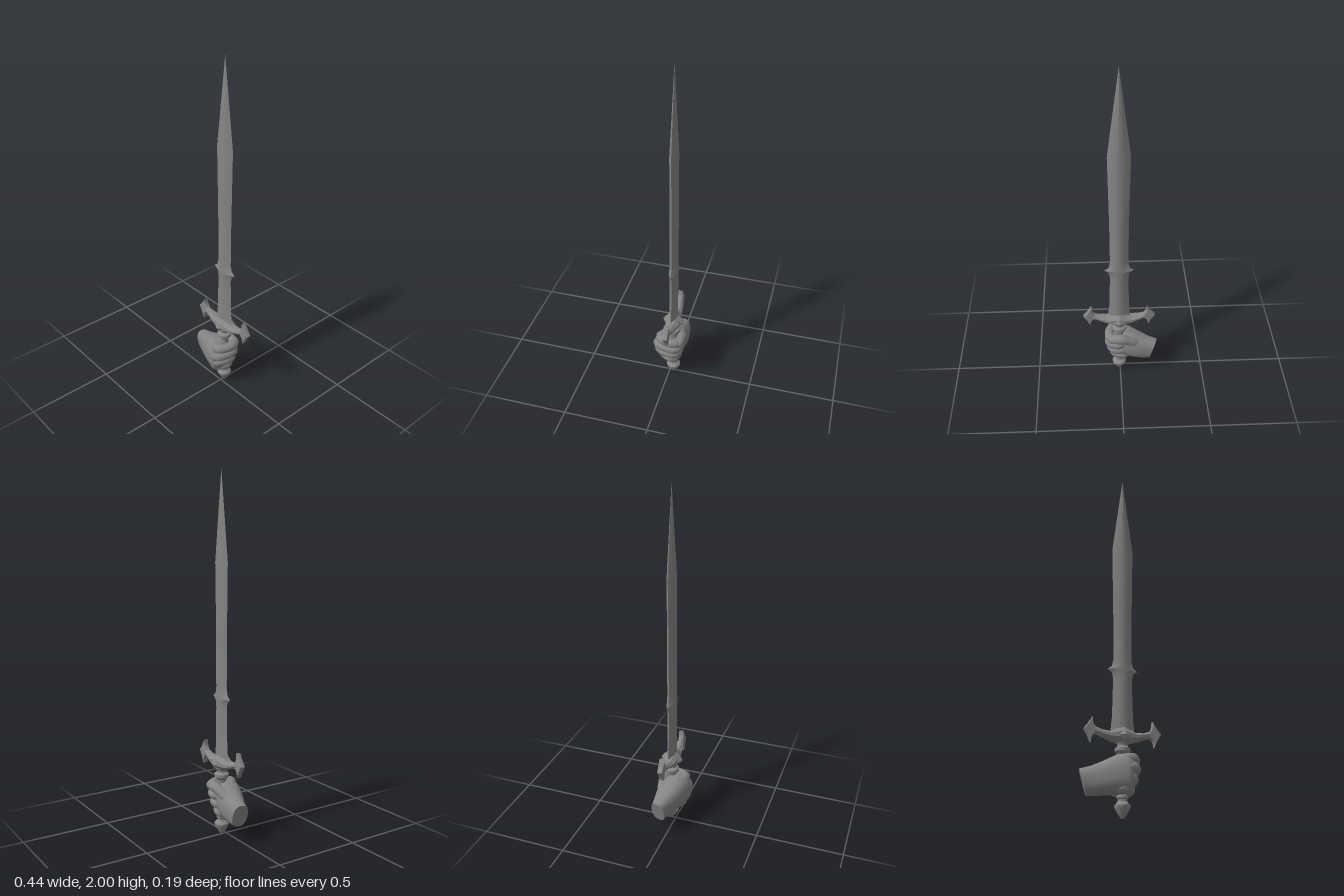
import * as THREE from 'three';
import { mergeVertices, toCreasedNormals } from 'three/addons/utils/BufferGeometryUtils.js';

const mat = new THREE.MeshStandardMaterial({ color: 0x858585 });
const flat = new THREE.MeshStandardMaterial({ color: 0x858585, flatShading: true });

function add(parent, name, geometry, material = mat) {
  const mesh = new THREE.Mesh(geometry, material);
  mesh.name = name;
  parent.add(mesh);
  return mesh;
}

// Skin a list of rings (counter-clockwise about the direction of travel) and cap both ends.
function loft(rings) {
  const n = rings[0].length, pos = rings.flat(2), idx = [];
  for (let i = 0; i < rings.length - 1; i++) {
    for (let j = 0; j < n; j++) {
      const a = i * n + j, b = i * n + (j + 1) % n;
      idx.push(a, b, b + n, a, b + n, a + n);
    }
  }
  [rings[0], rings[rings.length - 1]].forEach((ring, end) => {
    const base = pos.length / 3;
    const c = [0, 1, 2].map(k => ring.reduce((s, p) => s + p[k], 0) / n);
    pos.push(...ring.flat(), ...c);
    for (let j = 0; j < n; j++) {
      const a = base + j, b = base + (j + 1) % n;
      idx.push(base + n, end ? a : b, end ? b : a);
    }
  });
  const g = new THREE.BufferGeometry();
  g.setAttribute('position', new THREE.Float32BufferAttribute(pos, 3));
  g.setIndex(idx);
  g.computeVertexNormals();
  return g;
}

// Round-ended tube whose radius bulges slightly along its length.
function finger(points, radius) {
  const curve = new THREE.CatmullRomCurve3(points.map(p => new THREE.Vector3(...p)));
  const S = 28, R = 14;
  const g = new THREE.TubeGeometry(curve, S, 1, R, false);
  const p = g.attributes.position, v = new THREE.Vector3();
  for (let i = 0; i <= S; i++) {
    const t = i / S, c = curve.getPointAt(t);
    const e = Math.min(1, Math.min(t, 1 - t) / 0.14);
    const r = radius * Math.sqrt(Math.max(0.0004, 1 - (1 - e) ** 2)) * (1 + 0.04 * Math.cos(t * Math.PI * 6));
    for (let j = 0; j <= R; j++) {
      const k = i * (R + 1) + j;
      v.fromBufferAttribute(p, k).sub(c).multiplyScalar(r);
      p.setXYZ(k, c.x + v.x, c.y + v.y, c.z + v.z);
    }
  }
  g.deleteAttribute('normal');
  g.deleteAttribute('uv');
  const merged = mergeVertices(g, 1e-5);
  merged.computeVertexNormals();
  return merged;
}

function buildSword() {
  const sword = new THREE.Group();
  sword.name = 'sword';
  sword.position.set(0.006, 0, -0.024);

  // Blade: [height, half width, half thickness]
  const blade = [
    [0.42, 0.064, 0.026], [0.46, 0.063, 0.026], [0.52, 0.057, 0.026], [0.73, 0.052, 0.026],
    [0.765, 0.06, 0.026], [0.782, 0.084, 0.027], [0.8, 0.06, 0.026], [0.84, 0.051, 0.026],
    [1.1, 0.053, 0.026], [1.52, 0.061, 0.025], [2.0, 0.0005, 0.0005],
  ].map(([y, w, t]) => [
    [0, y, t], [w * 0.45, y, t * 0.75], [w, y, 0], [w * 0.45, y, -t * 0.75],
    [0, y, -t], [-w * 0.45, y, -t * 0.75], [-w, y, 0], [-w * 0.45, y, t * 0.75],
  ]);
  add(sword, 'blade', toCreasedNormals(loft(blade), 0.6));

  // Crossguard arms: [x, bottom, top, half depth]
  const half = [
    [0, 0.376, 0.468, 0.046], [0.03, 0.381, 0.454, 0.041], [0.07, 0.392, 0.438, 0.033],
    [0.11, 0.407, 0.442, 0.025], [0.145, 0.418, 0.455, 0.018], [0.175, 0.425, 0.46, 0.015],
  ];
  const arms = [...half.slice(1).reverse().map(([x, ...r]) => [-x, ...r]), ...half];
  add(sword, 'crossguard', loft(arms.map(([x, b, t, d]) => {
    const m = (b + t) / 2, h = (t - b) / 2;
    return [[1, 0.45], [0.35, 1], [-0.35, 1], [-1, 0.45], [-1, -0.45], [-0.35, -1], [0.35, -1], [1, -0.45]]
      .map(([u, v]) => [x, m + u * h, v * d]);
  })), flat);

  // Flared anchor-shaped tips of the guard
  const tip = new THREE.Shape();
  tip.moveTo(0.17, 0.372);
  tip.lineTo(0.187, 0.408);
  tip.lineTo(0.208, 0.442);
  tip.lineTo(0.184, 0.472);
  tip.lineTo(0.162, 0.508);
  tip.quadraticCurveTo(0.164, 0.472, 0.146, 0.456);
  tip.lineTo(0.148, 0.419);
  tip.quadraticCurveTo(0.17, 0.41, 0.17, 0.372);
  const tipGeo = new THREE.ExtrudeGeometry(tip, {
    depth: 0.016, bevelThickness: 0.008, bevelSize: 0.006, bevelOffset: -0.005, bevelSegments: 2, curveSegments: 4,
  }).translate(0, 0, -0.008);
  add(sword, 'leftGuardTip', tipGeo, flat);
  add(sword, 'rightGuardTip', tipGeo, flat).rotation.y = Math.PI;

  // Faceted studs on the front and back of the guard
  for (const s of [1, -1]) {
    const stud = add(sword, s > 0 ? 'frontStud' : 'backStud', new THREE.OctahedronGeometry(1, 0), flat);
    stud.scale.set(0.03, 0.03, 0.019);
    stud.position.set(0, 0.414, s * 0.045);
  }

  // Grip, collars and pommel
  const profile = [
    [0, 0], [0.01, 0.003], [0.021, 0.02], [0.041, 0.056], [0.041, 0.066], [0.024, 0.084],
    [0.024, 0.094], [0.03, 0.1], [0.03, 0.11], [0.025, 0.12], [0.029, 0.21], [0.025, 0.31],
    [0.027, 0.322], [0.041, 0.336], [0.041, 0.352], [0.027, 0.363], [0.027, 0.372], [0.034, 0.385], [0, 0.39],
  ].map(([r, y]) => new THREE.Vector2(r, y));
  add(sword, 'gripAndPommel', toCreasedNormals(new THREE.LatheGeometry(profile, 16), 0.5));
  return sword;
}

function buildHand() {
  const hand = new THREE.Group();
  hand.name = 'hand';

  // Wrist and back of the hand: [x, bottom, top, back, front, end slant]
  const keys = [
    [-0.197, 0.105, 0.235, -0.08, 0.003, 1], [-0.15, 0.106, 0.25, -0.084, 0.022, 0.6],
    [-0.1, 0.11, 0.276, -0.088, 0.05, 0.2], [-0.05, 0.112, 0.304, -0.084, 0.072, 0],
    [0, 0.114, 0.314, -0.07, 0.087, 0], [0.025, 0.12, 0.308, -0.055, 0.09, 0],
    [0.044, 0.138, 0.29, -0.04, 0.07, 0], [0.06, 0.165, 0.26, -0.03, 0.035, 0],
  ];
  const N = 28, power = 0.8;
  const soft = v => Math.sign(v) * Math.abs(v) ** power;
  const rings = keys.map(([x, y0, y1, z0, z1, slant]) => Array.from({ length: N }, (_, j) => {
    const a = j / N * Math.PI * 2;
    const dy = soft(Math.cos(a)) * (y1 - y0) / 2, dz = soft(Math.sin(a)) * (z1 - z0) / 2;
    return [x - slant * (dy * 0.3 + dz * 0.25), (y0 + y1) / 2 + dy, (z0 + z1) / 2 + dz];
  }));
  add(hand, 'palmAndWrist', loft(rings));

  // Four fingers curling round the grip: [height, reach in x, front z, back z]
  [
    [0.284, 0.064, 0.052, -0.066], [0.236, 0.064, 0.066, -0.064],
    [0.187, 0.053, 0.06, -0.056], [0.139, 0.037, 0.042, -0.044],
  ].forEach(([y, x, zf, zb], i) => {
    add(hand, 'finger' + (i + 1), finger([
      [x - 0.12, y, zf - 0.055], [x - 0.07, y, zf - 0.022], [x - 0.034, y, zf], [x - 0.012, y, zf - 0.024], [x, y, -0.005],
      [x - 0.006, y - 0.002, zb + 0.016], [x - 0.04, y - 0.003, zb], [x - 0.09, y - 0.002, zb + 0.006],
    ], 0.028));
  });

  // Thumb lying across the back over the first finger
  add(hand, 'thumb', finger([
    [-0.14, 0.2, -0.035], [-0.075, 0.25, -0.055], [-0.01, 0.281, -0.069], [0.035, 0.283, -0.069], [0.074, 0.274, -0.058],
  ], 0.029));
  return hand;
}

export function createModel() {
  const model = new THREE.Group();
  model.name = 'swordInHand';
  model.add(buildSword(), buildHand());
  return model;
}
